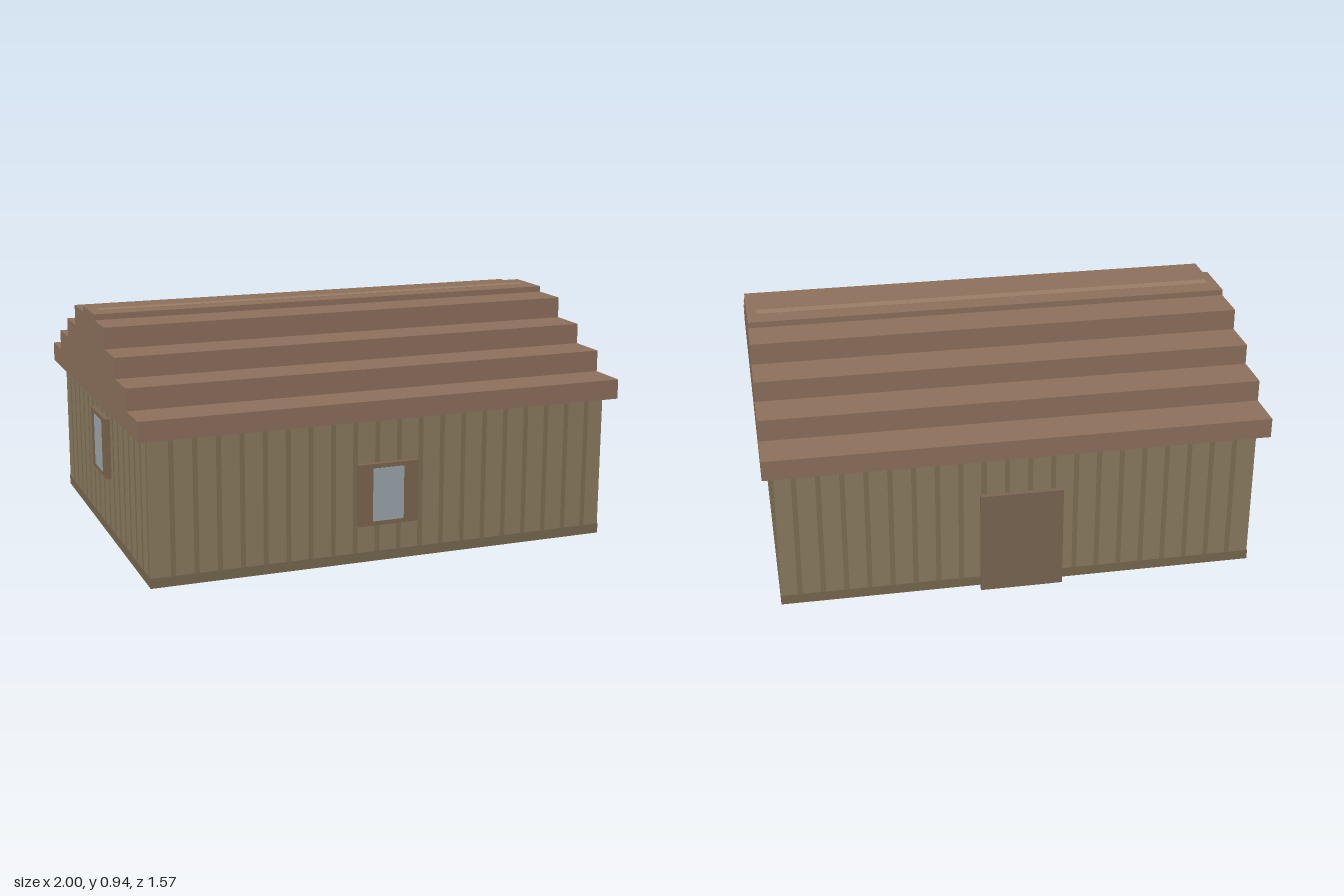
import * as THREE from 'three';

const paint = (color) => new THREE.MeshStandardMaterial({ color, flatShading: true });
const mats = {
  wall: paint(0x8b7c60), groove: paint(0x7d7053), skirting: paint(0x78694f),
  roof: paint(0x8d705c), ridge: paint(0x9a7d68), frame: paint(0x7d674e),
  door: paint(0x7a6752), glass: paint(0x9ca8ae),
};

function box(name, mat, w, h, d, x, y, z) {
  const mesh = new THREE.Mesh(new THREE.BoxGeometry(w, h, d), mats[mat]);
  mesh.name = name;
  mesh.position.set(x, y, z);
  return mesh;
}

// Framed window facing +z, its back on z = 0
function makeWindow(name, depth) {
  const g = new THREE.Group();
  g.name = name;
  g.add(box('windowFrame', 'frame', 0.25, 0.25, depth, 0, 0, depth / 2));
  g.add(box('windowPane', 'glass', 0.13, 0.215, 0.004, 0, 0, depth));
  return g;
}

export function createModel() {
  const house = new THREE.Group();
  house.name = 'house';
  const hx = 0.955, hz = 0.743, eave = 0.58;

  // Walls with a darker strip around the foot
  house.add(box('walls', 'wall', 2 * hx, eave, 2 * hz, 0, eave / 2, 0));
  house.add(box('skirting', 'skirting', 2 * hx + 0.004, 0.04, 2 * hz + 0.004, 0, 0.02, 0));

  // Vertical cladding stripes; each thin box shows on two opposite walls
  const cladding = new THREE.Group();
  cladding.name = 'cladding';
  const stripeH = eave - 0.04, stripeY = 0.04 + stripeH / 2;
  for (let i = 0; i < 20; i++) {
    cladding.add(box('longWallStripe', 'groove', 0.02, stripeH, 2 * hz + 0.002, -0.867 + i * 0.092, stripeY, 0));
  }
  for (let i = 0; i < 16; i++) {
    cladding.add(box('endWallStripe', 'groove', 2 * hx + 0.002, stripeH, 0.02, 0, stripeY, 0.72 - i * 0.091));
  }
  house.add(cladding);

  // Stepped roof: one profile extruded along x
  const steps = [[0.785, 0.66], [0.615, 0.747], [0.445, 0.83], [0.275, 0.916], [0.107, 0.94]];
  const side = [];
  let y = eave;
  for (const [z, top] of steps) {
    side.push([z, y], [z, top]);
    y = top;
  }
  const outline = [...side, ...side.slice().reverse().map(([z, h]) => [-z, h])];
  const profile = new THREE.Shape(outline.map(([z, h]) => new THREE.Vector2(z, h)));
  const roofGeo = new THREE.ExtrudeGeometry(profile, { depth: 2, bevelEnabled: false });
  roofGeo.translate(0, 0, -1).rotateY(-Math.PI / 2);
  const roof = new THREE.Mesh(roofGeo, mats.roof);
  roof.name = 'roof';
  house.add(roof);
  house.add(box('ridgeStrip', 'ridge', 1.92, 0.004, 0.045, 0, 0.939, 0));

  // Windows on the front and both ends
  const front = makeWindow('frontWindow', 0.022);
  front.position.set(0, 0.278, hz);
  const left = makeWindow('leftWindow', 0.02);
  left.position.set(hx, 0.405, -0.063);
  left.rotation.y = Math.PI / 2;
  const right = makeWindow('rightWindow', 0.022);
  right.position.set(-hx, 0.385, 0);
  right.rotation.y = -Math.PI / 2;
  house.add(front, left, right);

  // Back door: inner slab with a slightly larger outer panel
  const door = new THREE.Group();
  door.name = 'backDoor';
  door.add(box('doorSlab', 'door', 0.29, 0.405, 0.03, 0, 0.2025, -hz - 0.01));
  door.add(box('doorPanel', 'door', 0.33, 0.425, 0.02, 0, 0.2125, -hz - 0.032));
  house.add(door);

  return house;
}
